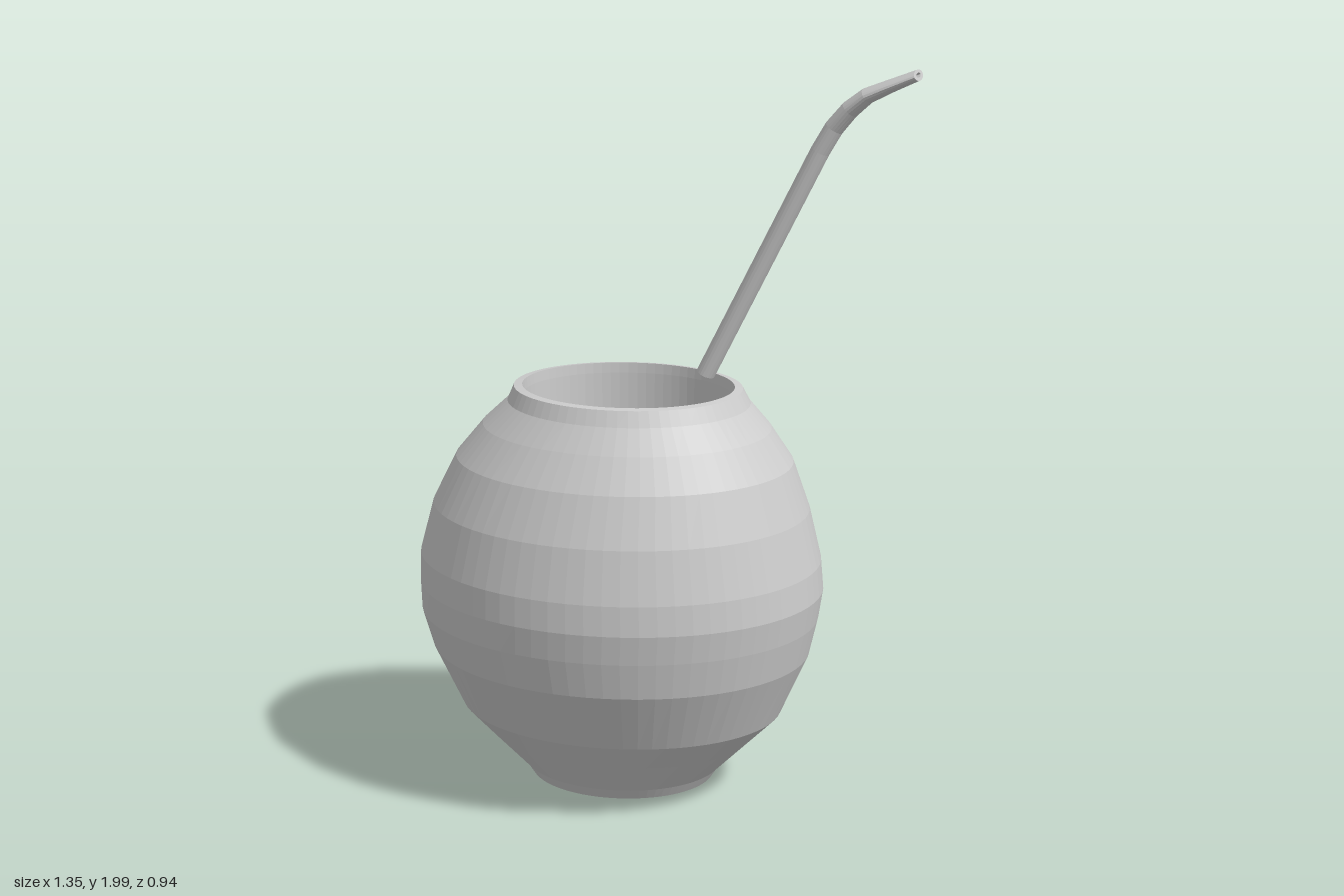
import * as THREE from 'three';

// Skin a list of elliptical rings; each ring is tilted in the xy plane.
// ring: x, y, z centre, a = half width in xy, b = half width in z, lean = angle from +y toward +x
function loft(rings, sides) {
  const pos = [], idx = [];
  rings.forEach(({ x, y, z = 0, a, b, lean = 0 }) => {
    for (let i = 0; i < sides; i++) {
      const t = (i / sides) * Math.PI * 2;
      const u = a * Math.cos(t);
      pos.push(x + u * Math.cos(lean), y - u * Math.sin(lean), z + b * Math.sin(t));
    }
  });
  for (let r = 0; r < rings.length - 1; r++) {
    for (let i = 0; i < sides; i++) {
      const j = (i + 1) % sides;
      const p = r * sides + i, q = r * sides + j;
      idx.push(p, p + sides, q, q, p + sides, q + sides);
    }
  }
  const geo = new THREE.BufferGeometry();
  geo.setAttribute('position', new THREE.Float32BufferAttribute(pos, 3));
  geo.setIndex(idx);
  geo.computeVertexNormals();
  return geo;
}

export function createModel() {
  const group = new THREE.Group();
  const grey = new THREE.MeshStandardMaterial({ color: 0xcccccc, flatShading: true });
  grey.name = 'light grey';

  // Cup: height, left edge, right edge, half depth; up the outside, over the rim, down the inside
  const cupProfile = [
    [0.005, -0.12, -0.12, 0],
    [0.005, -0.3, 0.055, 0.16],
    [0.03, -0.375, 0.13, 0.22],
    [0.06, -0.395, 0.15, 0.237],
    [0.15, -0.49, 0.24, 0.3],
    [0.23, -0.57, 0.32, 0.36],
    [0.4, -0.648, 0.395, 0.44],
    [0.5, -0.678, 0.418, 0.46],
    [0.58, -0.68, 0.43, 0.47],
    [0.66, -0.678, 0.423, 0.465],
    [0.8, -0.64, 0.39, 0.435],
    [0.93, -0.575, 0.345, 0.385],
    [1.02, -0.5, 0.285, 0.33],
    [1.085, -0.43, 0.228, 0.285],
    [1.125, -0.413, 0.207, 0.265],
    [1.128, -0.39, 0.185, 0.246],
    [1.1, -0.388, 0.182, 0.244],
    [0.1, -0.365, 0.157, 0.222],
    [0.1, -0.104, -0.104, 0],
  ];
  const cup = new THREE.Mesh(loft(cupProfile.map(([y, l, r, b]) => (
    { x: (l + r) / 2, y, a: (r - l) / 2, b })), 72), grey);
  cup.name = 'cup';
  group.add(cup);

  // Straw: x, y, thickness, half depth, lean; bends and flattens to a hollow mouthpiece
  const strawProfile = [
    [0.12, 1.182, 0, 0, 0.46],
    [0.12, 1.182, 0.025, 0.033, 0.46],
    [0.42, 1.785, 0.025, 0.033, 0.48],
    [0.455, 1.845, 0.025, 0.034, 0.6],
    [0.495, 1.893, 0.024, 0.041, 0.78],
    [0.54, 1.93, 0.021, 0.048, 0.97],
    [0.6, 1.957, 0.017, 0.05, 1.12],
    [0.668, 1.986, 0.014, 0.051, 1.15],
    [0.668, 1.986, 0.006, 0.025, 1.15],
    [0.64, 1.974, 0.006, 0.025, 1.15],
    [0.64, 1.974, 0, 0, 1.15],
  ];
  const straw = new THREE.Mesh(loft(strawProfile.map(([x, y, a, b, lean]) => (
    { x, y, z: 0.026, a, b, lean })), 20), grey);
  straw.name = 'straw';
  group.add(straw);

  return group;
}
